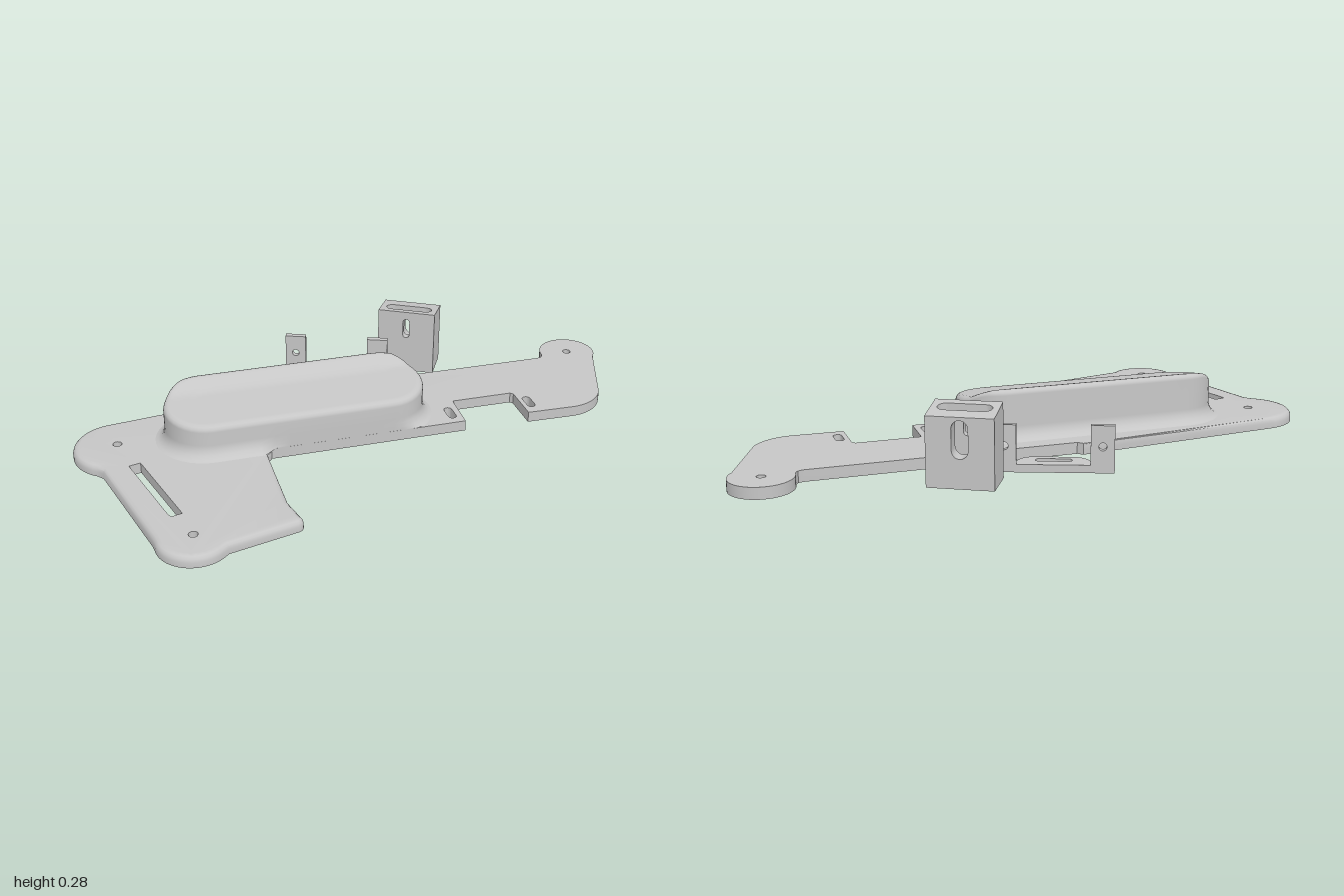
import * as THREE from 'three';
import { toCreasedNormals } from 'three/addons/utils/BufferGeometryUtils.js';

const grey = new THREE.MeshStandardMaterial({ color: 0xc6c6c6 });
grey.name = 'grey metal';

// Points of an arc in the ground plane (x, z), angles in degrees
function arc(cx, cz, r, a0, a1, n = 20) {
  return Array.from({ length: n + 1 }, (_, i) => {
    const a = THREE.MathUtils.degToRad(a0 + (a1 - a0) * i / n);
    return [cx + r * Math.cos(a), cz + r * Math.sin(a)];
  });
}

// Obround loop: half length between end centres, end radius, direction in degrees
function obround(cx, cz, half, r, deg) {
  const a = THREE.MathUtils.degToRad(deg);
  const dx = half * Math.cos(a), dz = half * Math.sin(a);
  return [...arc(cx + dx, cz + dz, r, deg - 90, deg + 90, 10),
    ...arc(cx - dx, cz - dz, r, deg + 90, deg + 270, 10)];
}

const flip = pts => pts.map(([x, z]) => new THREE.Vector2(x, -z));
const plain = pts => pts.map(([x, y]) => new THREE.Vector2(x, y));

// Counter-clockwise shape, so that hole walls face the right way
function shapeOf(points, holes, convert) {
  const outer = convert(points);
  if (THREE.ShapeUtils.isClockWise(outer)) outer.reverse();
  const s = new THREE.Shape(outer);
  holes.forEach(h => s.holes.push(new THREE.Path(convert(h))));
  return s;
}

// Outline in the ground plane, extruded upward
function slab(points, holes, height, steps = 1) {
  return new THREE.ExtrudeGeometry(shapeOf(points, holes, flip), { depth: height, steps, bevelEnabled: false })
    .rotateX(-Math.PI / 2);
}

// Outline in the upright x, y plane, extruded from z0 to z1
function wall(points, holes, z0, z1) {
  return new THREE.ExtrudeGeometry(shapeOf(points, holes, plain), { depth: z1 - z0, bevelEnabled: false })
    .translate(0, 0, z0);
}

const rect = (x0, x1, y0, y1) => [[x0, y0], [x1, y0], [x1, y1], [x0, y1]];

function add(parent, geometry, name, crease = 0.6) {
  const mesh = new THREE.Mesh(crease ? toCreasedNormals(geometry, crease) : geometry, grey);
  mesh.name = name;
  parent.add(mesh);
}

// Base plate with a rounded upper edge on its leg and left end
function basePlate() {
  const outline = [
    ...arc(0.834, -0.88, 0.12, 150, 370, 30),
    ...arc(0.82, -0.54, 0.18, 0, 62, 12),
    [0.73, -0.29], [0.65, -0.43], [0.635, -0.435], [0.41, -0.31], [0.488, -0.16], [0.475, -0.153],
    [-0.22, 0.237], [-0.225, 0.27], [-0.06, 0.57], [0.005, 0.64],
    ...arc(-0.005, 0.672, 0.03, -40, 50, 6),
    [-0.19, 0.88],
    ...arc(-0.33, 0.855, 0.14, 25, 150),
    [-0.47, 0.9], [-0.81, 0.53],
    ...arc(-0.825, 0.345, 0.175, 95, 235, 24),
    [-0.22, -0.29], [-0.195, -0.282], [0.715, -0.785], [0.728, -0.8],
  ];
  const holes = [
    obround(0.834, -0.88, 0, 0.017, 0),
    obround(-0.825, 0.345, 0, 0.018, 0),
    obround(-0.33, 0.855, 0, 0.018, 0),
    [[-0.72, 0.487], [-0.685, 0.455], [-0.412, 0.74], [-0.447, 0.773]],
    obround(0.415, -0.21, 0.026, 0.017, 60),
    obround(0.72, -0.38, 0.026, 0.017, 60),
  ];
  const geo = slab(outline, holes, 4, 4);
  // Inward direction at each rounded outline point
  const inward = new Map();
  const key = (x, z) => `${Math.round(x * 1e4)},${Math.round(z * 1e4)}`;
  outline.forEach(([x, z], i) => {
    if (x > -0.3 && z < 0.26) return;
    const [ax, az] = outline[(i + outline.length - 1) % outline.length];
    const [bx, bz] = outline[(i + 1) % outline.length];
    const n1 = new THREE.Vector2(-(z - az), x - ax).normalize();
    const n2 = new THREE.Vector2(-(bz - z), bx - x).normalize();
    inward.set(key(x, z), n1.add(n2).normalize());
  });
  const levels = [0, 0.022, 0.034, 0.042, 0.045];
  const insets = [0, 0, 0.004, 0.012, 0.024];
  const p = geo.attributes.position;
  for (let i = 0; i < p.count; i++) {
    const k = Math.round(p.getY(i)), x = p.getX(i), z = p.getZ(i);
    const n = inward.get(key(x, z));
    const d = n ? insets[k] : 0;
    p.setXYZ(i, x + (n ? n.x * d : 0), levels[k], z + (n ? n.y * d : 0));
  }
  return geo;
}

// Long raised housing: stadium rings from the flared foot to the sloping top
function housing() {
  const half = 0.367, R = 0.165;
  // Top height across the width, high at the back and low at the front
  const top = v => {
    const pts = [[-0.165, 0.244], [-0.135, 0.241], [-0.075, 0.207], [0.165, 0.178]];
    let i = 0;
    while (i < 2 && v > pts[i + 1][0]) i++;
    return THREE.MathUtils.mapLinear(v, pts[i][0], pts[i + 1][0], pts[i][1], pts[i + 1][1]);
  };
  // Each ring: radius offset, fixed height or drop below the top
  const rings = [
    { o: 0.045, y: 0.043 }, { o: 0.028, y: 0.049 }, { o: 0.013, y: 0.062 }, { o: 0.004, y: 0.08 }, { o: 0, y: 0.1 },
    { o: 0, d: 0.022 }, { o: -0.003, d: 0.012 }, { o: -0.009, d: 0.004 }, { o: -0.019, d: 0 },
    { o: -0.03, d: 0 }, { o: -0.045, d: 0 }, { o: -0.065, d: 0 }, { o: -0.09, d: 0 }, { o: -0.12, d: 0 }, { o: -R, d: 0 },
  ];
  const loop = r => {
    const pts = [...arc(half, 0, r, -90, 90, 18), ...arc(-half, 0, r, 90, 270, 18)];
    const side = (z, sign) => Array.from({ length: 11 }, (_, i) => [sign * half * (1 - (i + 1) / 6), z]);
    return [...pts.slice(0, 19), ...side(r, 1), ...pts.slice(19), ...side(-r, -1)];
  };
  const pos = [], idx = [];
  let n = 0;
  rings.forEach(({ o, y, d }) => {
    const pts = loop(R + o);
    n = pts.length;
    pts.forEach(([u, v]) => {
      const h = y !== undefined ? y : top(v) - d;
      pos.push(u, h, u > -0.15 ? Math.min(v, R) : v); // no flare where flush with the plate edge
    });
  });
  for (let i = 0; i < rings.length - 1; i++) {
    for (let j = 0; j < n; j++) {
      const a = i * n + j, b = i * n + (j + 1) % n;
      idx.push(a, a + n, b, b, a + n, b + n);
    }
  }
  const geo = new THREE.BufferGeometry();
  geo.setAttribute('position', new THREE.Float32BufferAttribute(pos, 3));
  geo.setIndex(idx);
  geo.computeVertexNormals();
  return geo.rotateY(THREE.MathUtils.degToRad(29.3)).translate(-0.18, 0, 0.025);
}

// Slotted block with a sloping top
function slottedBlock() {
  const g = new THREE.Group();
  g.name = 'slottedBlock';
  const outer = rect(0.022, 0.27, 0, 0.28);
  const end = [[0.022, -0.65], [0.022, -0.71], ...arc(0.076, -0.68, 0.03, 270, 90)];
  const parts = {
    blockFront: wall(outer, [obround(0.146, 0.205, 0.03, 0.014, 90)], -0.65, -0.617),
    blockBack: wall(outer, [obround(0.146, 0.18, 0.04, 0.03, 90)], -0.77, -0.71),
    blockRightEnd: slab(end, [], 0.28),
    blockLeftEnd: slab(end.map(([x, z]) => [0.292 - x, z]), [], 0.28),
    slotLip: slab(rect(0.046, 0.246, -0.71, -0.65), [obround(0.146, -0.68, 0.07, 0.022, 0)], 0.03),
  };
  for (const [name, geo] of Object.entries(parts)) {
    const p = geo.attributes.position;
    for (let i = 0; i < p.count; i++) {
      if (p.getY(i) > 0.275) p.setY(i, 0.262 + (p.getZ(i) + 0.77) * 0.14);
    }
    add(g, geo, name);
  }
  return g;
}

// Small bracket: slotted foot between two upright drilled tabs
function bracket() {
  const g = new THREE.Group();
  g.name = 'bracket';
  const foot = [[-0.137, -0.012], [0.137, -0.012], [0.137, 0.012],
    ...arc(0.07, 0.02, 0.067, 0, 90, 8), ...arc(-0.07, 0.02, 0.067, 90, 180, 8), [-0.137, 0.012]];
  add(g, slab(foot, [obround(0, 0.047, 0.053, 0.015, 0)], 0.03), 'bracketFoot');
  for (const s of [-1, 1]) {
    const tab = wall(rect(-0.044, 0.044, 0, 0.18), [obround(0, 0.1, 0, 0.015, 0)], -0.012, 0.012);
    add(g, tab.translate(s * 0.179, 0, 0), s < 0 ? 'rightTab' : 'leftTab');
  }
  g.position.set(-0.142, 0, -0.515);
  g.rotation.y = 0.136;
  return g;
}

export function createModel() {
  const model = new THREE.Group();
  model.name = 'mountingPlateKit';
  add(model, basePlate(), 'basePlate');
  add(model, housing(), 'raisedHousing', 0);
  model.add(slottedBlock(), bracket());
  return model;
}
